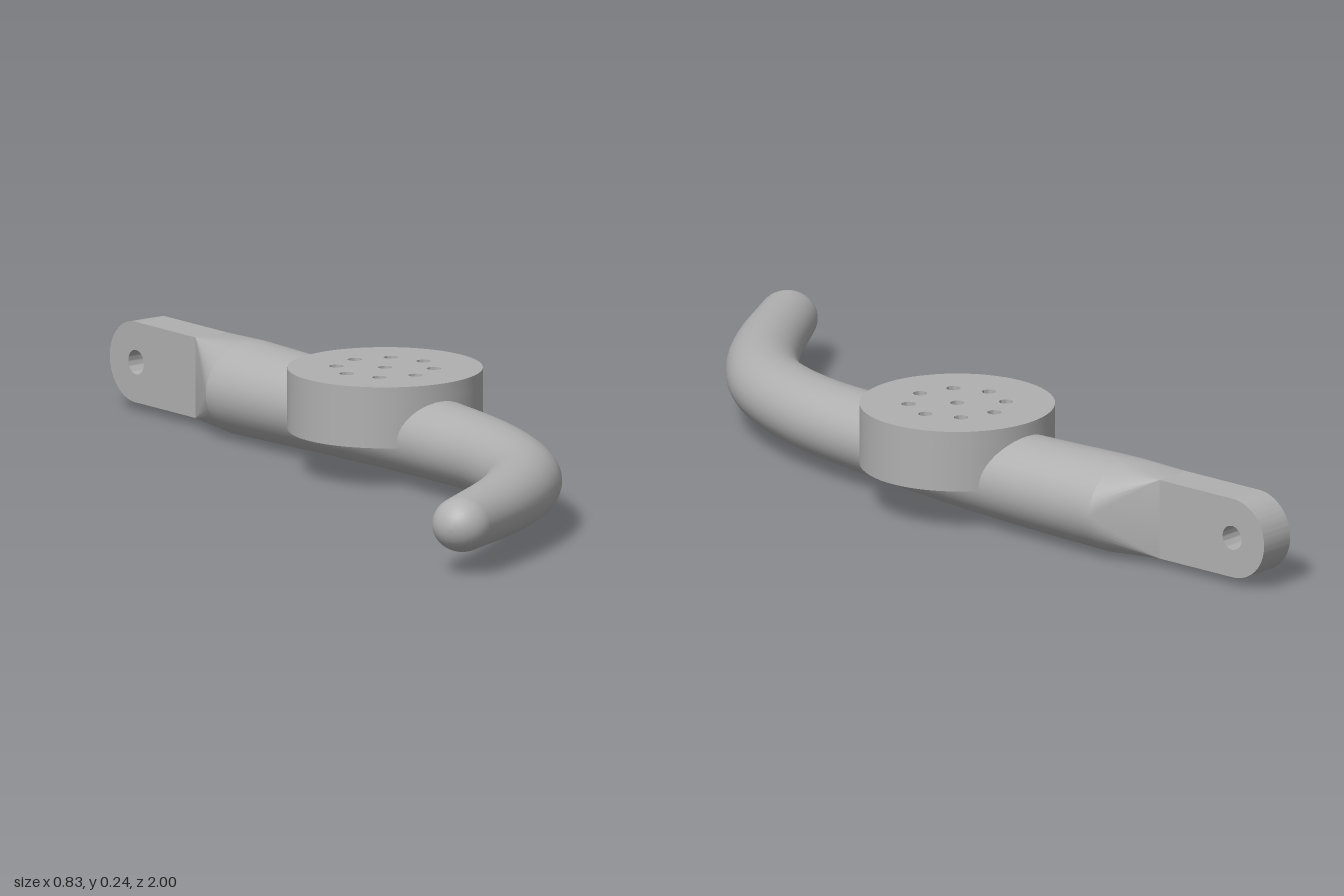
import * as THREE from 'three';
import { toCreasedNormals } from 'three/addons/utils/BufferGeometryUtils.js';

const SIDES = 40;

export function createModel() {
  const model = new THREE.Group();
  const grey = new THREE.MeshStandardMaterial({ color: 0xb0b0b0 });
  grey.name = 'plainGrey';

  const add = (name, geometry) => {
    const mesh = new THREE.Mesh(geometry, grey);
    mesh.name = name;
    model.add(mesh);
    return mesh;
  };
  const circle = (Kind, x, y, r) => new Kind().absarc(x, y, r, 0, Math.PI * 2, false);

  // Elliptical ring across a horizontal direction
  const ring = (centre, dir, w, h) => {
    const side = new THREE.Vector3(dir.z, 0, -dir.x);
    return Array.from({ length: SIDES }, (_, j) => {
      const a = (j / SIDES) * Math.PI * 2;
      const p = centre.clone().addScaledVector(side, w * Math.cos(a));
      p.y += h * Math.sin(a);
      return p;
    });
  };

  // Curved tapering arm, closed by a rounded tip
  const path = new THREE.CatmullRomCurve3([
    [0.21, 0.108, -0.55], [0.208, 0.108, -0.2], [0.185, 0.109, 0.16], [0.148, 0.11, 0.42],
    [0.07, 0.111, 0.615], [-0.02, 0.112, 0.72], [-0.145, 0.112, 0.815], [-0.35, 0.112, 0.93],
  ].map((p) => new THREE.Vector3(...p)));
  const rings = [];
  const steps = 60;
  for (let i = 0; i <= steps; i++) {
    const t = i / steps;
    const dir = path.getTangentAt(t).setY(0).normalize();
    if (i === 0) dir.set(0, 0, 1);
    rings.push(ring(path.getPointAt(t), dir, 0.126 - 0.058 * t ** 1.2, 0.108 - 0.045 * t ** 1.1));
  }
  const tip = path.getPointAt(1);
  const tipDir = path.getTangentAt(1).setY(0).normalize();
  for (let i = 1; i <= 10; i++) {
    const a = (i / 10) * Math.PI / 2;
    const s = Math.max(Math.cos(a), 0.001);
    rings.push(ring(tip.clone().addScaledVector(tipDir, 0.068 * Math.sin(a)), tipDir, 0.068 * s, 0.063 * s));
  }
  const index = [];
  for (let i = 0; i < rings.length - 1; i++) {
    for (let j = 0; j < SIDES; j++) {
      const k = (j + 1) % SIDES;
      const a = i * SIDES + j, b = i * SIDES + k;
      index.push(a, b, b + SIDES, a, b + SIDES, a + SIDES);
    }
  }
  const arm = new THREE.BufferGeometry().setFromPoints(rings.flat());
  arm.setIndex(index);
  arm.computeVertexNormals();
  add('curvedArm', arm);

  // Transition from the round arm to the flat lug
  const corners = [[0.255, 0.205], [0.165, 0.205], [0.165, 0.02], [0.255, 0.02]]
    .map(([x, y]) => new THREE.Vector3(x, y, -0.69));
  const quarter = SIDES / 4;
  const faces = [];
  for (let q = 0; q < 4; q++) {
    for (let j = q * quarter; j < (q + 1) * quarter; j++) {
      faces.push(rings[0][j], corners[q], rings[0][(j + 1) % SIDES]);
    }
    faces.push(rings[0][q * quarter], corners[(q + 3) % 4], corners[q]);
  }
  const neck = new THREE.BufferGeometry().setFromPoints(faces);
  add('taperedNeck', toCreasedNormals(neck, 0.35));

  // Flat lug with a rounded end and a pivot hole
  const lugShape = new THREE.Shape();
  lugShape.moveTo(-0.69, 0.02);
  lugShape.lineTo(-0.69, 0.205);
  lugShape.lineTo(-0.9075, 0.205);
  lugShape.absarc(-0.9075, 0.1125, 0.0925, Math.PI / 2, Math.PI * 1.5, false);
  lugShape.holes.push(circle(THREE.Path, -0.905, 0.1125, 0.028));
  const lug = new THREE.ExtrudeGeometry(lugShape, { depth: 0.09, bevelEnabled: false, curveSegments: 24 });
  lug.rotateY(-Math.PI / 2).translate(0.255, 0, 0);
  add('pivotLug', toCreasedNormals(lug, 0.6));

  // Round pad: solid base and a perforated top layer
  const base = new THREE.CylinderGeometry(0.22, 0.22, 0.1, 64);
  add('padBase', base).position.set(0.195, 0.15, -0.04);

  const topShape = circle(THREE.Shape, 0, 0, 0.22);
  topShape.holes.push(circle(THREE.Path, 0, 0, 0.016));
  for (let i = 0; i < 8; i++) {
    const a = (i / 8) * Math.PI * 2;
    topShape.holes.push(circle(THREE.Path, 0.11 * Math.cos(a), 0.11 * Math.sin(a), 0.016));
  }
  const top = new THREE.ExtrudeGeometry(topShape, { depth: 0.04, bevelEnabled: false, curveSegments: 32 });
  top.rotateX(-Math.PI / 2);
  add('perforatedPadTop', toCreasedNormals(top, 0.6)).position.set(0.195, 0.2, -0.04);

  return model;
}
